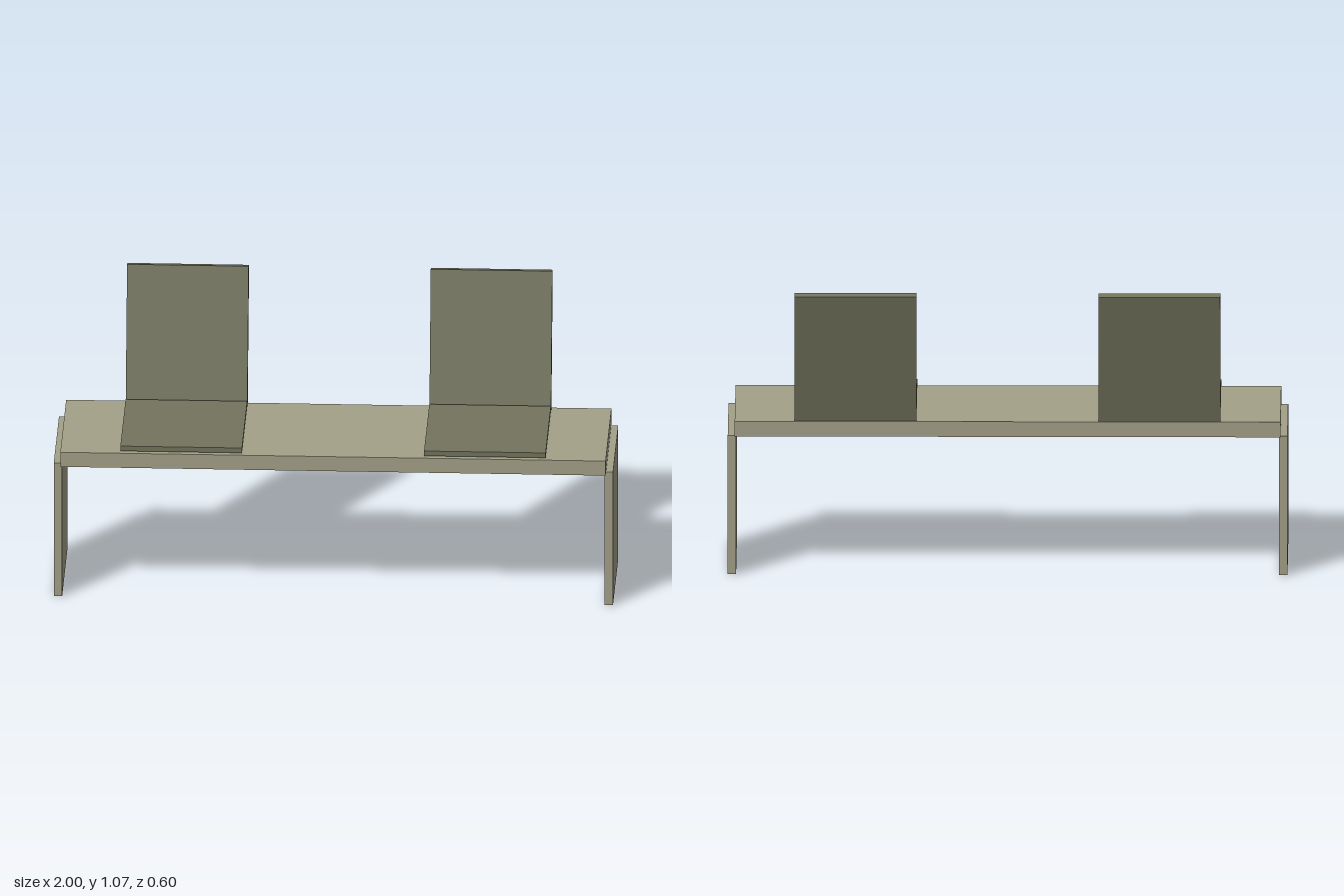
import * as THREE from 'three';

export function createModel() {
  const model = new THREE.Group();
  model.name = 'bench';
  const paleOlive = new THREE.MeshStandardMaterial({ color: 0xa3a188 });
  paleOlive.name = 'pale olive';
  const darkOlive = new THREE.MeshStandardMaterial({ color: 0x74745e });
  darkOlive.name = 'dark olive';

  function addBox(name, size, position, material) {
    const mesh = new THREE.Mesh(new THREE.BoxGeometry(...size), material);
    mesh.name = name;
    mesh.position.set(...position);
    model.add(mesh);
    return mesh;
  }

  // Long bench top
  addBox('benchTop', [1.95, 0.056, 0.493], [0, 0.543, 0.054], paleOlive);

  for (const [side, s] of [['left', 1], ['right', -1]]) {
    // Slab leg at each end
    addBox(side + 'Leg', [0.03, 0.514, 0.438], [s * 0.985, 0.257, 0.045], paleOlive);

    // Thin seat pad, floating just above the top
    addBox(side + 'SeatPad', [0.435, 0.019, 0.44], [s * 0.543, 0.587, 0.075], darkOlive);

    // Backrest leaning backwards
    const back = addBox(side + 'Backrest', [0.435, 0.508, 0.031], [s * 0.543, 0.816, -0.227], darkOlive);
    back.rotation.x = -0.223;
  }
  return model;
}
